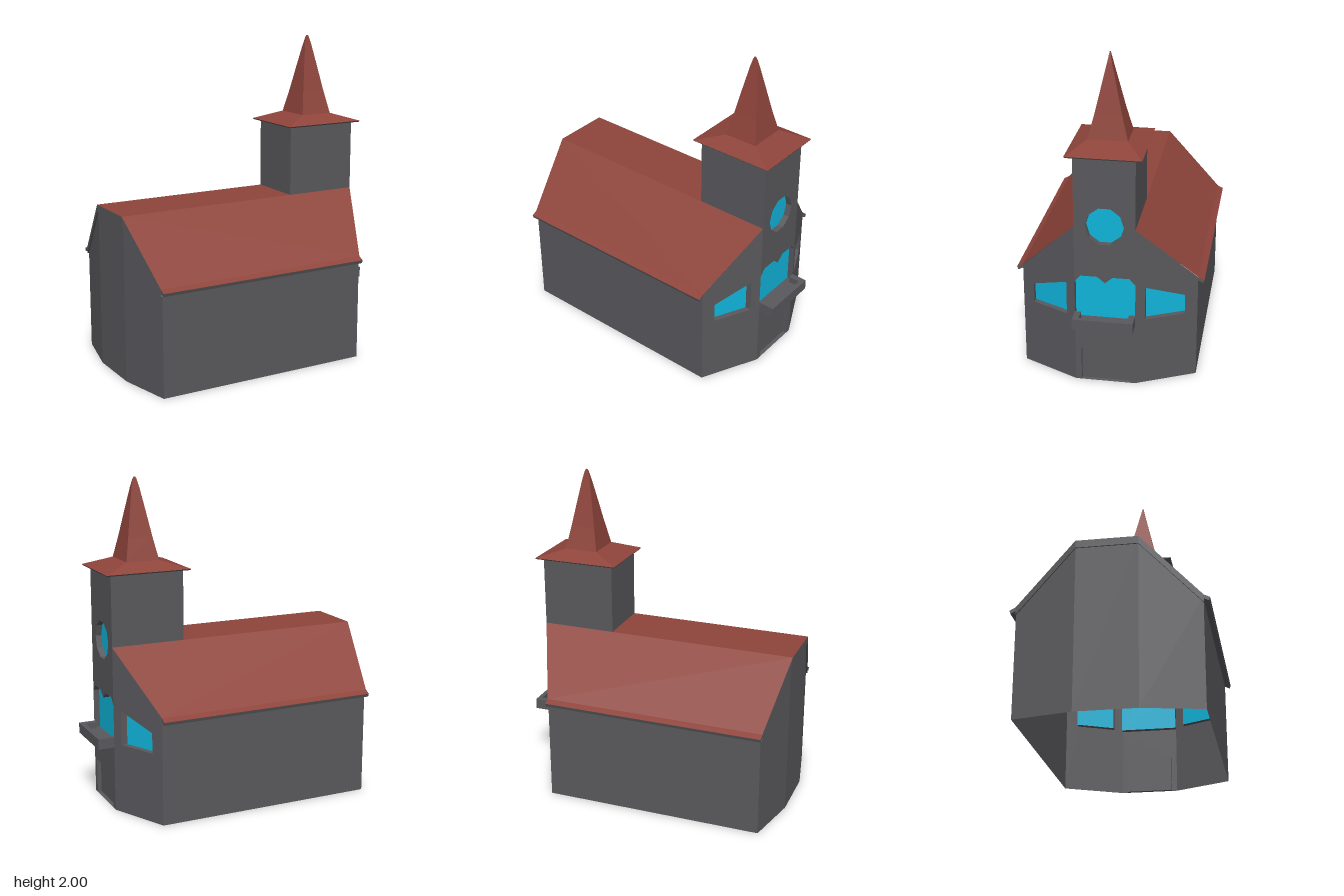
import * as THREE from 'three';

const mat = (name, color) => {
  const m = new THREE.MeshStandardMaterial({ color, side: THREE.DoubleSide });
  m.name = name;
  return m;
};

export function createModel() {
  const stone = mat('stone grey', 0x59595d);
  const tile = mat('tile red', 0x8e443b);
  const glass = mat('glass blue', 0x10b4da);
  const model = new THREE.Group();
  const add = (name, geometry, material) => {
    const mesh = new THREE.Mesh(geometry, material);
    mesh.name = name;
    model.add(mesh);
    return mesh;
  };

  // Flat-shaded surface from a list of four-cornered faces
  const quads = (faces) => {
    const pos = [];
    for (const [a, b, c, d] of faces) pos.push(...a, ...b, ...c, ...a, ...c, ...d);
    const g = new THREE.BufferGeometry();
    g.setAttribute('position', new THREE.Float32BufferAttribute(pos, 3));
    g.computeVertexNormals();
    return g;
  };

  // Strips joining two paths of equal length
  const strip = (p, q, closed = false) => {
    const faces = [];
    const n = closed ? p.length : p.length - 1;
    for (let i = 0; i < n; i++) {
      const j = (i + 1) % p.length;
      faces.push([p[i], p[j], q[j], q[i]]);
    }
    return faces;
  };

  // Stacked rectangles: [y, halfX, halfZ] around the tower axis
  const TOWER_X = 0.532;
  const loft = (rings) => {
    const corners = ([y, hx, hz]) => [[1, 1], [1, -1], [-1, -1], [-1, 1]]
      .map(([sx, sz]) => [TOWER_X + sx * hx, y, sz * hz]);
    const faces = [];
    for (let i = 0; i + 1 < rings.length; i++)
      faces.push(...strip(corners(rings[i]), corners(rings[i + 1]), true));
    return quads(faces);
  };

  // End walls are drawn as (u, y) outlines, u running across, then bent to plan
  const W = 0.18, H = 0.53;
  const bend = (xMid, xSide) => (u) =>
    xMid + (xSide - xMid) * Math.max(0, (Math.abs(u) - W) / (H - W));
  const frontX = bend(0.76, 0.59);
  const backX = bend(-0.855, -0.78);
  const panel = (outline, holes, xOf, dir, inset = 0) => {
    const toV2 = (l) => l.map(([u, y]) => new THREE.Vector2(u, y));
    const shape = new THREE.Shape(toV2(outline));
    for (const h of holes) shape.holes.push(new THREE.Path(toV2(h)));
    const g = new THREE.ShapeGeometry(shape);
    const p = g.attributes.position;
    for (let i = 0; i < p.count; i++) {
      const u = p.getX(i);
      p.setXYZ(i, xOf(u) - inset, p.getY(i), -dir * u);
    }
    g.computeVertexNormals();
    return g;
  };

  // A sunk opening: reveal around the edge and a pane set back
  const recess = (name, outline, material, depth) => {
    const edge = (d) => outline.map(([u, y]) => [frontX(u) - d, y, -u]);
    add(name + 'Reveal', quads(strip(edge(0), edge(depth), true)), stone);
    add(name, panel(outline, [], frontX, 1, depth), material);
  };
  const DEPTH = 0.037;

  // Front face with tower front: heart-topped window between two panels
  const sill = 0.42;
  const arch = [[-W, 0.665], [-0.145, 0.705], [-0.045, 0.705], [0, 0.665],
    [0.045, 0.705], [0.145, 0.705], [W, 0.665]];
  const rose = [];
  for (let i = 0; i < 10; i++) {
    const a = (i / 10) * Math.PI * 2;
    rose.push([Math.cos(a) * 0.113, 1.028 + Math.sin(a) * 0.119]);
  }
  const door = [[-0.145, 0], [-0.145, 0.22], [0.145, 0.22], [0.145, 0]];
  add('frontLowerWall', panel([[-W, 0], ...door, [W, 0], [W, sill], [-W, sill]], [], frontX, 1), stone);
  add('frontUpperWall', panel([...arch, [W, 1.45], [-W, 1.45]], [rose], frontX, 1), stone);
  recess('balconyWindow', [[-W, sill], ...arch, [W, sill]], glass, DEPTH);
  recess('roundWindow', rose, glass, DEPTH);
  recess('door', door, stone, 0.025);

  // Angled wings, side walls and rear walls
  for (const s of [1, -1]) {
    const wing = [[s * W, 0], [s * H, 0], [s * H, 0.66], [s * W, 1.02]];
    const win = [[s * 0.235, 0.43], [s * 0.458, 0.43], [s * 0.458, 0.555], [s * 0.235, 0.642]];
    add('frontWing', panel(wing, [win], frontX, 1), stone);
    recess('wingWindow', win, glass, DEPTH);
    add('rearWing', panel(wing, [], backX, -1), stone);
    add('sideWall', quads([[[-0.78, 0, s * H], [0.59, 0, s * H],
      [0.59, 0.66, s * H], [-0.78, 0.66, s * H]]]), stone);
    add('towerSide', quads([[[0.3, 1.0, s * W], [0.76, 1.02, s * W],
      [0.76, 1.45, s * W], [0.3, 1.45, s * W]]]), stone);
  }
  add('rearWall', panel([[-W, 0], [W, 0], [W, 1.02], [-W, 1.02]], [], backX, -1), stone);
  add('towerBack', quads([[[0.3, 1.0, -W], [0.3, 1.0, W], [0.3, 1.45, W], [0.3, 1.45, -W]]]), stone);

  // Main roof: flat ridge, two slopes and a flared eave
  const ridge = 1.02;
  add('roofRidge', quads([[[-0.863, ridge, W], [0.7, ridge, W],
    [0.7, ridge, -W], [-0.863, ridge, -W]]]), tile);
  for (const s of [1, -1]) {
    const rear = [[-0.863, ridge, s * W], [-0.79, 0.663, s * 0.532], [-0.79, 0.645, s * 0.567]];
    const fore = [[0.76, ridge, s * W], [0.592, 0.663, s * 0.532], [0.592, 0.645, s * 0.567]];
    add('roofSlope', quads(strip(rear, fore)), tile);
    // Eave board and its underside
    const eave = (x, y, z) => [x, y, s * z];
    add('eaveBoard', quads([
      [eave(-0.79, 0.645, 0.567), eave(0.592, 0.645, 0.567), eave(0.592, 0.625, 0.56), eave(-0.79, 0.625, 0.56)],
      [eave(-0.79, 0.625, 0.56), eave(0.592, 0.625, 0.56), eave(0.592, 0.64, 0.53), eave(-0.79, 0.64, 0.53)],
      ...[-0.79, 0.592].map((x) => [eave(x, 0.645, 0.567), eave(x, 0.625, 0.56), eave(x, 0.64, 0.53), eave(x, 0.663, 0.532)]),
    ]), stone);
  }

  // Rear gable board following the roof edge
  const edge = [[-0.79, 0.663, 0.532], [-0.863, ridge, W], [-0.863, ridge, -W], [-0.79, 0.663, -0.532]];
  const low = edge.map(([x, y, z]) => [x, y - 0.045, z]);
  const inner = low.map(([x, y, z]) => [x + 0.02, y, z]);
  add('gableBoard', quads([...strip(edge, low), ...strip(low, inner)]), stone);

  // Tower cap and spire
  add('towerEave', loft([[1.45, 0.22, 0.17], [1.452, 0.262, 0.214], [1.46, 0.267, 0.222]]), stone);
  add('towerRoof', loft([[1.46, 0.267, 0.222], [1.51, 0.104, 0.117]]), tile);
  add('spire', loft([[1.51, 0.104, 0.117], [1.65, 0.077, 0.08], [1.8, 0.05, 0.046],
    [1.94, 0.024, 0.014], [1.985, 0.012, 0.005], [2.0, 0.005, 0.002], [2.0, 0, 0]]), tile);

  // Balcony: floor slab with a low parapet
  const box = (name, w, h, d, x, y, z) =>
    add(name, new THREE.BoxGeometry(w, h, d), stone).position.set(x, y, z);
  box('balconyFloor', 0.1, 0.025, 2 * W, 0.81, 0.4125, 0);
  box('balconyFront', 0.027, 0.04, 2 * W, 0.8465, 0.445, 0);
  for (const s of [1, -1]) box('balconySide', 0.073, 0.04, 0.037, 0.7965, 0.445, s * (W - 0.0185));

  return model;
}
